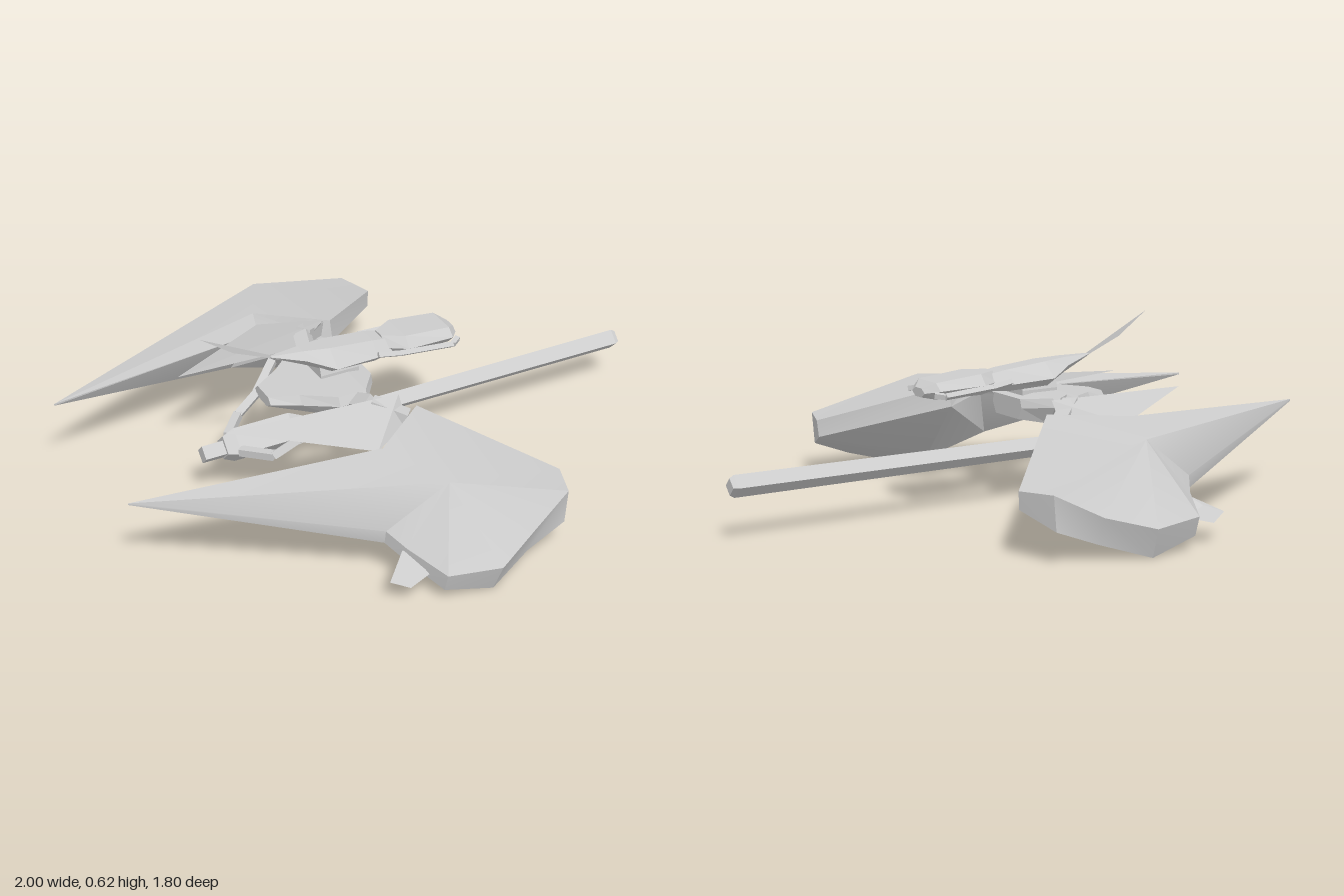
import * as THREE from 'three';
import { toCreasedNormals } from 'three/addons/utils/BufferGeometryUtils.js';

const grey = new THREE.MeshStandardMaterial({ color: 0xcccccc });
grey.name = 'lightGrey';
const greySheet = new THREE.MeshStandardMaterial({ color: 0xcccccc, side: THREE.DoubleSide });
greySheet.name = 'lightGreySheet';

// Mesh from corner triples; side = -1 mirrors it across z and keeps faces outward
function facets(name, tris, side = 1, crease = 0.3, material = grey) {
  const pos = [];
  for (const [a, b, c] of tris) {
    for (const p of side > 0 ? [a, b, c] : [a, c, b]) pos.push(p[0], p[1], p[2] * side);
  }
  const g = new THREE.BufferGeometry();
  g.setAttribute('position', new THREE.Float32BufferAttribute(pos, 3));
  g.computeVertexNormals();
  const mesh = new THREE.Mesh(crease ? toCreasedNormals(g, crease) : g, material);
  mesh.name = name;
  return mesh;
}

// Closed skin through matching rings ordered along +x
function loft(rings) {
  const tris = [], n = rings[0].length, last = rings[rings.length - 1];
  for (let s = 0; s + 1 < rings.length; s++) {
    for (let i = 0; i < n; i++) {
      const j = (i + 1) % n, A = rings[s], B = rings[s + 1];
      tris.push([A[i], A[j], B[j]], [A[i], B[j], B[i]]);
    }
  }
  for (let i = 1; i + 1 < n; i++) {
    tris.push([last[0], last[i], last[i + 1]], [rings[0][0], rings[0][i + 1], rings[0][i]]);
  }
  return tris;
}

// Six-sided hull section: top, middle and bottom heights with half widths
const hex = ([x, yt, wt, ym, wm, yb, wb]) => [
  [x, yt, wt], [x, ym, wm], [x, yb, wb], [x, yb, -wb], [x, ym, -wm], [x, yt, -wt]];
const diamond = ([x, y, r]) => [[x, y + r, 0], [x, y, r], [x, y - r, 0], [x, y, -r]];

// Straight four-sided strut between two points
function strut(name, a, b, r, side) {
  const p = new THREE.Vector3(a[0], a[1], a[2] * side);
  const q = new THREE.Vector3(b[0], b[1], b[2] * side);
  const m = new THREE.Mesh(new THREE.CylinderGeometry(r, r, p.distanceTo(q), 4).toNonIndexed(), grey);
  m.geometry.computeVertexNormals();
  m.position.copy(p).add(q).multiplyScalar(0.5);
  m.quaternion.setFromUnitVectors(new THREE.Vector3(0, 1, 0), q.sub(p).normalize());
  m.name = name;
  return m;
}

// Big armoured side wing: humped top, narrow rim, keeled underside
function wing(side) {
  const upper = [
    [0.015, 0.36, 0.31], [0.35, 0.215, 0.66], [0.305, 0.22, 0.785], [0.15, 0.14, 0.83], [0, 0.1, 0.9],
    [-0.18, 0.11, 0.87], [-0.25, 0.15, 0.73], [-0.29, 0.19, 0.67], [-1, 0.312, 0.32], [-0.2, 0.36, 0.48]];
  const lower = [
    [0.015, 0.29, 0.29], [0.345, 0.155, 0.655], [0.295, 0.105, 0.785], [0.15, 0.05, 0.8], [-0.01, 0, 0.86],
    [-0.18, 0.045, 0.85], [-0.25, 0.1, 0.72], [-0.29, 0.14, 0.66], [-1, 0.306, 0.32], [-0.2, 0.3, 0.445]];
  const peak = [-0.09, 0.335, 0.71], keel = [-0.02, 0.06, 0.53], rearKeel = [-0.27, 0.13, 0.53];
  const tris = [], n = upper.length;
  for (let i = 0; i < n; i++) {
    const j = (i + 1) % n;
    tris.push([peak, upper[j], upper[i]]);
    tris.push([upper[i], upper[j], lower[j]], [upper[i], lower[j], lower[i]]);
    tris.push([i < 5 ? keel : rearKeel, lower[i], lower[j]]);
  }
  tris.push([keel, lower[5], rearKeel], [keel, rearKeel, lower[0]]);
  return facets('wing', tris, side, 0.5);
}

// Slim pointed fin tucked inside each wing
function innerFin(side) {
  const tip = [-0.61, 0.375, 0.19], ridge = [-0.03, 0.395, 0.27], front = [-0.03, 0.32, 0.33];
  const outer = [-0.2, 0.33, 0.45], under = [-0.14, 0.33, 0.24];
  return facets('innerFin', [
    [tip, outer, ridge], [outer, front, ridge], [tip, ridge, under],
    [ridge, front, under], [tip, under, outer], [outer, under, front]], side, 0);
}

// Little winglet on the outer rear edge
function winglet(side) {
  const a = [-0.34, 0.09, 0.79], b = [-0.28, 0.065, 0.815], c = [-0.19, 0.09, 0.8];
  const d = [-0.25, 0.14, 0.71], e = [-0.27, 0.115, 0.77];
  return facets('winglet', [[a, b, e], [b, c, e], [c, d, e], [d, a, e]], side, 0, greySheet);
}

export function createModel() {
  const model = new THREE.Group();
  model.name = 'winged craft';

  // Long gun
  model.add(facets('gunBarrel', loft([
    [-0.615, 0.18, 0.033], [0.985, 0.18, 0.037], [1, 0.18, 0.028]].map(diamond)), 1, 0));
  model.add(facets('gunBreech', loft([
    [-0.54, 0.185, 0.045], [-0.5, 0.185, 0.065], [-0.3, 0.185, 0.065], [-0.24, 0.185, 0.035]].map(diamond)), 1, 0));

  // Wide lower body carrying the wings
  model.add(facets('body', loft([
    [-0.39, 0.36, 0.04, 0.34, 0.06, 0.32, 0.03],
    [-0.3, 0.37, 0.09, 0.34, 0.11, 0.3, 0.07],
    [-0.2, 0.38, 0.175, 0.35, 0.19, 0.29, 0.14],
    [-0.1, 0.38, 0.175, 0.35, 0.19, 0.29, 0.14],
    [-0.03, 0.37, 0.08, 0.34, 0.09, 0.3, 0.07]].map(hex)), 1, 0));
  model.add(facets('neck', loft([
    [-0.2, 0.42, 0.04, 0.39, 0.05, 0.35, 0.05],
    [-0.06, 0.42, 0.04, 0.39, 0.05, 0.35, 0.05]].map(hex)), 1, 0));

  // Upper hull and head
  model.add(facets('upperHull', loft([
    [-0.36, 0.487, 0.003, 0.484, 0.005, 0.48, 0.003],
    [-0.25, 0.485, 0.02, 0.46, 0.045, 0.435, 0.02],
    [-0.16, 0.48, 0.035, 0.43, 0.095, 0.4, 0.05],
    [0, 0.465, 0.035, 0.42, 0.075, 0.395, 0.05],
    [0.06, 0.455, 0.03, 0.42, 0.06, 0.4, 0.04]].map(hex)), 1, 0));
  model.add(facets('head', loft([
    [0.04, 0.465, 0.02, 0.43, 0.045, 0.4, 0.03],
    [0.11, 0.465, 0.06, 0.43, 0.09, 0.395, 0.06],
    [0.28, 0.45, 0.055, 0.425, 0.085, 0.395, 0.055],
    [0.315, 0.43, 0.02, 0.415, 0.04, 0.4, 0.02]].map(hex)), 1, 0));

  // Swept blade rising from the rear of the hull
  const blade = [[-0.605, 0.617, 0], [-0.35, 0.486, 0], [-0.25, 0.475, 0], [-0.25, 0.44, 0], [-0.36, 0.48, 0], [-0.49, 0.535, 0]];
  model.add(facets('rearBlade', [
    [blade[0], blade[5], blade[1]], [blade[5], blade[4], blade[1]],
    [blade[1], blade[4], blade[2]], [blade[4], blade[3], blade[2]]], 1, 0, greySheet));

  for (const side of [1, -1]) {
    model.add(wing(side), innerFin(side), winglet(side));

    // Cheek rails around the head
    const rail = [[0, 0.43, 0.075], [0.08, 0.42, 0.085], [0.27, 0.41, 0.1], [0.3, 0.415, 0.08]];
    for (let i = 0; i < 3; i++) model.add(strut('cheekRail', rail[i], rail[i + 1], 0.012, side));

    // Shoulder joint from body to wing
    const shoulder = [[-0.14, 0.34, 0.17], [-0.12, 0.37, 0.25], [-0.03, 0.335, 0.33]];
    for (let i = 0; i < 2; i++) model.add(strut('shoulder', shoulder[i], shoulder[i + 1], 0.035, side));

    // Bent bracket holding the gun
    const arm = [[-0.5, 0.19, 0.05], [-0.42, 0.2, 0.14], [-0.34, 0.25, 0.16], [-0.25, 0.32, 0.22]];
    for (let i = 0; i < 3; i++) model.add(strut('gunBracket', arm[i], arm[i + 1], 0.019, side));
  }
  return model;
}
